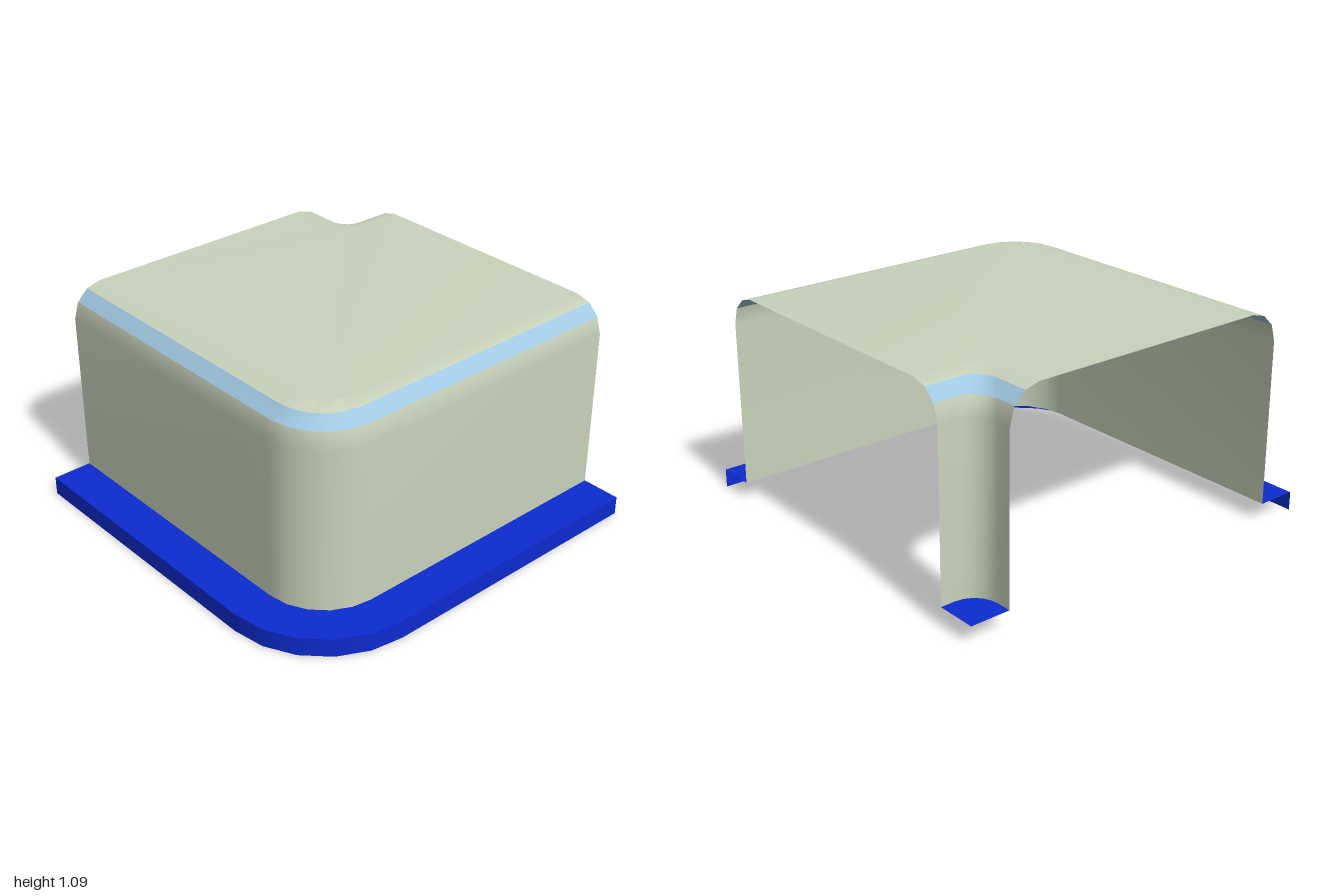
import * as THREE from 'three';
import { mergeGeometries, mergeVertices } from 'three/addons/utils/BufferGeometryUtils.js';

const CREAM = 0xc9d3bb, SKY = 0x9fc8e2, BLUE = 0x0c2bd0;
const SEG = 5;

// Plan path of the big rounded corner: the face lies at x = -p and z = p
function outerPath(p) {
  const c = 0.47, r = p - c, pts = [[-p, -1]];
  for (let i = 0; i <= SEG; i++) {
    const a = (i / SEG) * Math.PI / 2;
    pts.push([-c - r * Math.cos(a), c + r * Math.sin(a)]);
  }
  pts.push([1, p]);
  return pts;
}

// Plan path of the small notch: the face lies at x = p and z = -p
function notchPath(p, r) {
  const c = p + r, pts = [[1, -p]];
  for (let i = 0; i <= SEG; i++) {
    const a = (i / SEG) * Math.PI / 2;
    pts.push([c - r * Math.sin(a), -c + r * Math.cos(a)]);
  }
  pts.push([p, -1]);
  return pts;
}

// Skin a list of { path, y } rows, listed from the bottom up
function loft(rows) {
  const pos = [], index = [], n = rows[0].path.length;
  rows.forEach(({ path, y }, j) => path.forEach(([x, z], i) => {
    pos.push(x, y, z);
    if (j && i) {
      const d = j * n + i, c = d - 1, b = d - n, a = b - 1;
      index.push(a, b, d, a, d, c);
    }
  }));
  const g = new THREE.BufferGeometry();
  g.setAttribute('position', new THREE.Float32BufferAttribute(pos, 3));
  g.setIndex(index);
  g.computeVertexNormals();
  return g;
}

// Flat level surface facing up
function flat(points, y) {
  const shape = new THREE.Shape(points.map(([x, z]) => new THREE.Vector2(x, -z)));
  return new THREE.ShapeGeometry(shape).rotateX(-Math.PI / 2).translate(0, y, 0);
}

// Join pieces with shared, smooth normals
function weld(geometries) {
  geometries.forEach((g) => { g.deleteAttribute('normal'); g.deleteAttribute('uv'); });
  const g = mergeVertices(mergeGeometries(geometries), 1e-4);
  g.computeVertexNormals();
  return g;
}

export function createModel() {
  const group = new THREE.Group();
  const material = (color) => new THREE.MeshStandardMaterial({ color, side: THREE.DoubleSide });
  const cream = material(CREAM), sky = material(SKY), blue = material(BLUE);
  const add = (name, geometry, mat) => {
    const mesh = new THREE.Mesh(geometry, mat);
    mesh.name = name;
    group.add(mesh);
  };
  const outer = (p, y) => ({ path: outerPath(p), y });
  const notch = (p, y, r) => ({ path: notchPath(p, r), y });

  // Base: low skirt and the ledge around the wall
  add('baseSkirt', loft([outer(1, 0), outer(1, 0.095)]), blue);
  add('baseLedge', loft([outer(1, 0.095), outer(0.795, 0.095)]), blue);
  add('notchFloor', flat([...notchPath(0.795, 0.13), [1, -1]], 0.095), blue);

  // Walls, leaning in slightly at the top
  add('outerWall', loft([outer(0.795, 0.095), outer(0.795, 0.93), outer(0.77, 1.015)]), cream);
  add('notchWall', loft([notch(0.795, 0.095, 0.13), notch(0.795, 0.93, 0.13),
    notch(0.77, 1.015, 0.12)]), cream);

  // Coloured bevel strips
  add('outerStrip', loft([outer(0.77, 1.015), outer(0.713, 1.07)]), sky);
  add('notchStrip', loft([notch(0.77, 1.015, 0.12), notch(0.713, 1.07, 0.1)]), sky);

  // Roof with its shallow edges
  add('roof', weld([
    loft([outer(0.713, 1.07), outer(0.64, 1.09)]),
    loft([notch(0.713, 1.07, 0.1), notch(0.64, 1.09, 0.08)]),
    flat([...outerPath(0.64), ...notchPath(0.64, 0.08)], 1.09),
  ]), cream);

  return group;
}
